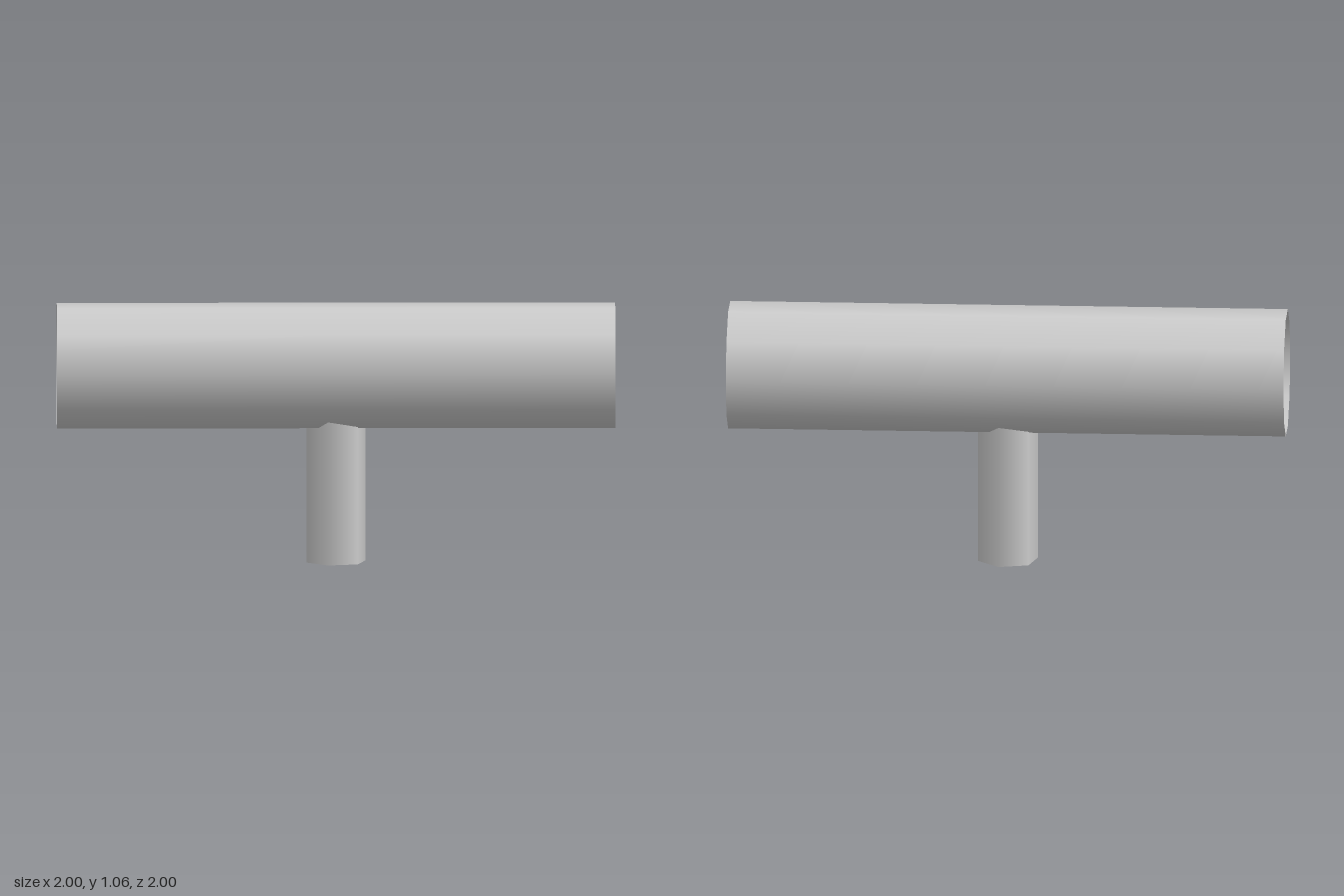
import * as THREE from 'three';

export function createModel() {
  const model = new THREE.Group();
  const grey = new THREE.MeshStandardMaterial({ color: 0xcccccc, side: THREE.DoubleSide });
  grey.name = 'light grey';

  // Open-ended, smooth-shaded tube standing along y
  const openTube = (name, radius, length, sides, start = 0) => {
    const mesh = new THREE.Mesh(
      new THREE.CylinderGeometry(radius, radius, length, sides, 1, true, start), grey);
    mesh.name = name;
    model.add(mesh);
    return mesh;
  };

  // Ten-sided barrel lying diagonally, flat side down
  const barrel = openTube('barrel', 0.2625, 2.3, 10);
  barrel.geometry.rotateZ(Math.PI / 2).rotateY(Math.PI / 4);
  barrel.position.y = 0.815;

  // Six-sided post, its top just inside the barrel
  const postHeight = 0.62;
  const post = openTube('post', 0.1265, postHeight, 6, Math.PI / 6);
  post.position.y = postHeight / 2;

  return model;
}
